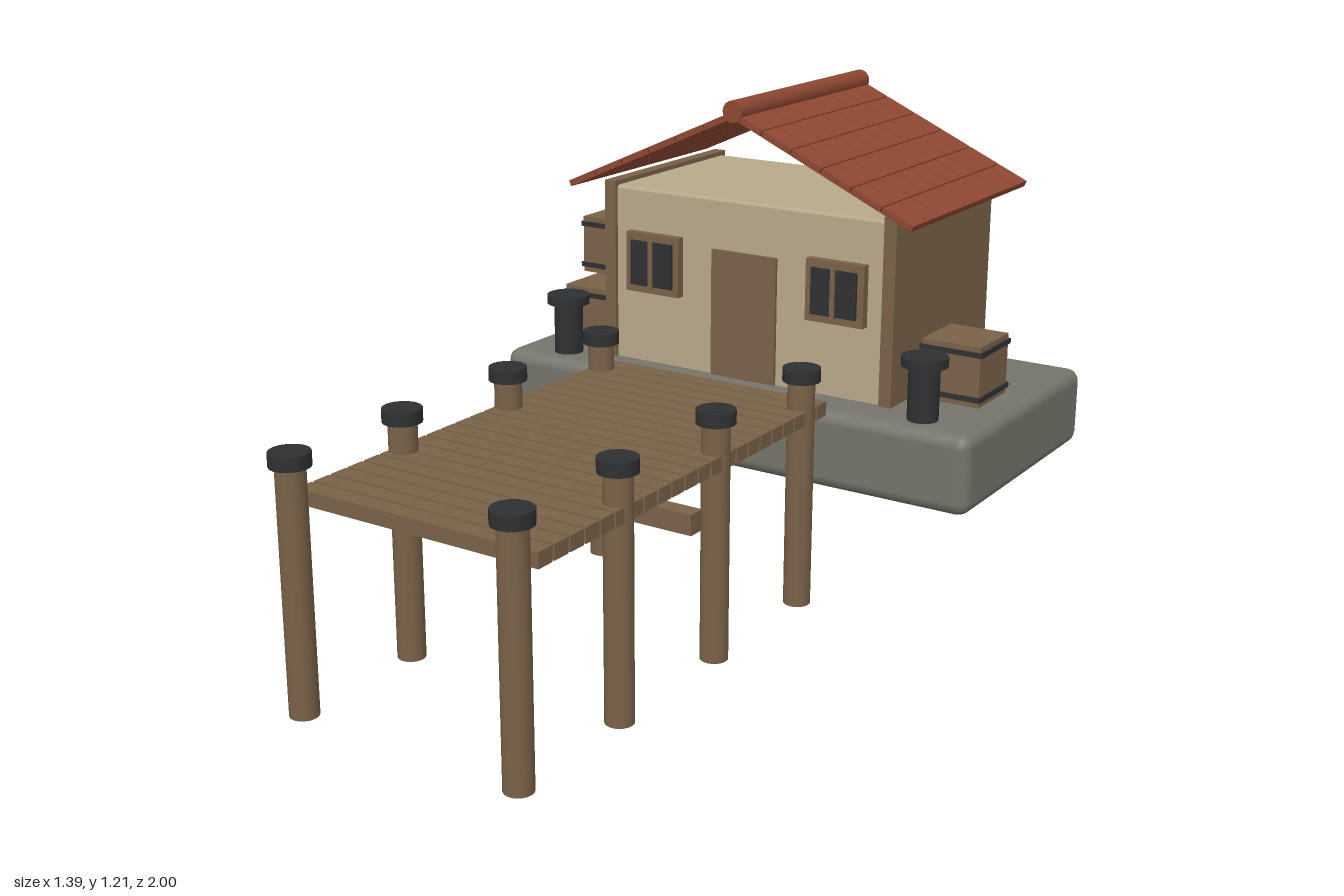
import * as THREE from 'three';
import { RoundedBoxGeometry } from 'three/addons/geometries/RoundedBoxGeometry.js';

const mat = (name, color) => new THREE.MeshStandardMaterial({ name, color });

export function createModel() {
  const wood = mat('wood', 0x7a6248);
  const plaster = mat('plaster', 0xb8a98a);
  const stone = mat('stone', 0x76756b);
  const iron = mat('dark iron', 0x2f3032);
  const tile = mat('roof tile', 0x8e4732);
  const joint = mat('tile joint', 0x4a261c);

  const model = new THREE.Group();
  model.name = 'dockHouse';
  const group = (name, parent = model) => {
    const g = new THREE.Group();
    g.name = name;
    parent.add(g);
    return g;
  };
  const add = (parent, name, geometry, material, x, y, z) => {
    const m = new THREE.Mesh(geometry, material);
    m.name = name;
    m.position.set(x, y, z);
    parent.add(m);
    return m;
  };
  // Box given by its min and max on each axis
  const box = (parent, name, material, x0, x1, y0, y1, z0, z1) =>
    add(parent, name, new THREE.BoxGeometry(x1 - x0, y1 - y0, z1 - z0), material,
      (x0 + x1) / 2, (y0 + y1) / 2, (z0 + z1) / 2);
  // Upright cylinder between two heights
  const column = (parent, name, material, r, x, y0, y1, z) =>
    add(parent, name, new THREE.CylinderGeometry(r, r, y1 - y0, 16), material, x, (y0 + y1) / 2, z);

  // Stone platform
  add(model, 'platform', new RoundedBoxGeometry(1.39, 0.205, 0.71, 2, 0.033), stone, 0, 0.3725, -0.635);

  // Pier: planks, cross beam and capped piles
  const pier = group('pier');
  const pitch = 0.0532;
  for (let i = 0; i < 22; i++) {
    const z = 0.909 - i * pitch;
    box(pier, 'plank', wood, -0.325, 0.325, 0.475, 0.511, z - 0.0465, z);
  }
  box(pier, 'crossBeam', wood, -0.325, 0.325, 0.36, 0.41, 0.31, 0.355);
  for (const x of [-0.297, 0.297]) {
    for (const z of [0.952, 0.595, 0.21, -0.178]) {
      column(pier, 'pile', wood, 0.034, x, 0, 0.59, z);
      column(pier, 'pileCap', iron, 0.047, x, 0.58, 0.613, z);
    }
  }

  // House walls
  const house = group('house');
  add(house, 'plasterWalls', new RoundedBoxGeometry(0.82, 0.495, 0.53, 1, 0.01), plaster, 0, 0.6975, -0.665);
  for (const s of [-1, 1]) {
    box(house, 'sideWall', wood, s * 0.415 - 0.017, s * 0.415 + 0.017, 0.47, 0.957, -0.94, -0.39);
  }
  box(house, 'door', wood, -0.097, 0.095, 0.475, 0.812, -0.402, -0.391);

  // Windows
  for (const s of [-1, 1]) {
    const w = group('window', house);
    w.position.x = s * 0.272;
    box(w, 'windowFrame', wood, -0.082, 0.082, 0.67, 0.83, -0.402, -0.377);
    box(w, 'windowPane', iron, -0.064, 0.064, 0.69, 0.81, -0.378, -0.37);
    box(w, 'windowBar', wood, -0.006, 0.006, 0.685, 0.815, -0.371, -0.364);
  }

  // Roof: two slopes of tiles around a thin darker sheet
  const roof = group('roof');
  const rows = 9, cols = 6, depth = 0.67, z0 = -0.998;
  const rise = 0.227, run = 0.503;
  const slope = Math.hypot(run, rise);
  for (const s of [-1, 1]) {
    const side = group('roofSlope', roof);
    side.position.set(0, 1.176, z0 + depth / 2);
    side.rotation.z = -s * Math.atan2(rise, run);
    add(side, 'roofSheet', new THREE.BoxGeometry(slope - 0.004, 0.01, depth - 0.004), joint, s * slope / 2, 0, 0);
    const w = slope / cols, d = depth / rows;
    for (let c = 0; c < cols; c++) {
      for (let r = 0; r < rows; r++) {
        add(side, 'tile', new THREE.BoxGeometry(w - 0.003, 0.016, d - 0.003), tile,
          s * (c + 0.5) * w, 0, (r + 0.5) * d - depth / 2);
      }
    }
  }
  const ridge = add(roof, 'ridge', new THREE.CylinderGeometry(0.028, 0.028, depth, 16), tile, 0, 1.184, z0 + depth / 2);
  ridge.rotation.x = Math.PI / 2;

  // Mooring bollards on the platform
  for (const x of [-0.535, 0.535]) {
    const b = group('bollard');
    column(b, 'bollardPost', iron, 0.039, x, 0.47, 0.62, -0.36);
    column(b, 'bollardCap', iron, 0.058, x, 0.612, 0.636, -0.36);
  }

  // Banded crates: x, base height, z
  for (const [x, y, z] of [
    [-0.535, 0.475, -0.732], [-0.535, 0.475, -0.54], [-0.535, 0.652, -0.626], [0.533, 0.475, -0.594],
  ]) {
    const crate = group('crate');
    crate.position.set(x, y, z);
    box(crate, 'crateBody', wood, -0.08, 0.08, 0, 0.157, -0.082, 0.082);
    for (const h of [0.014, 0.13]) {
      box(crate, 'crateBand', iron, -0.085, 0.085, h, h + 0.013, -0.087, 0.087);
    }
  }

  return model;
}
